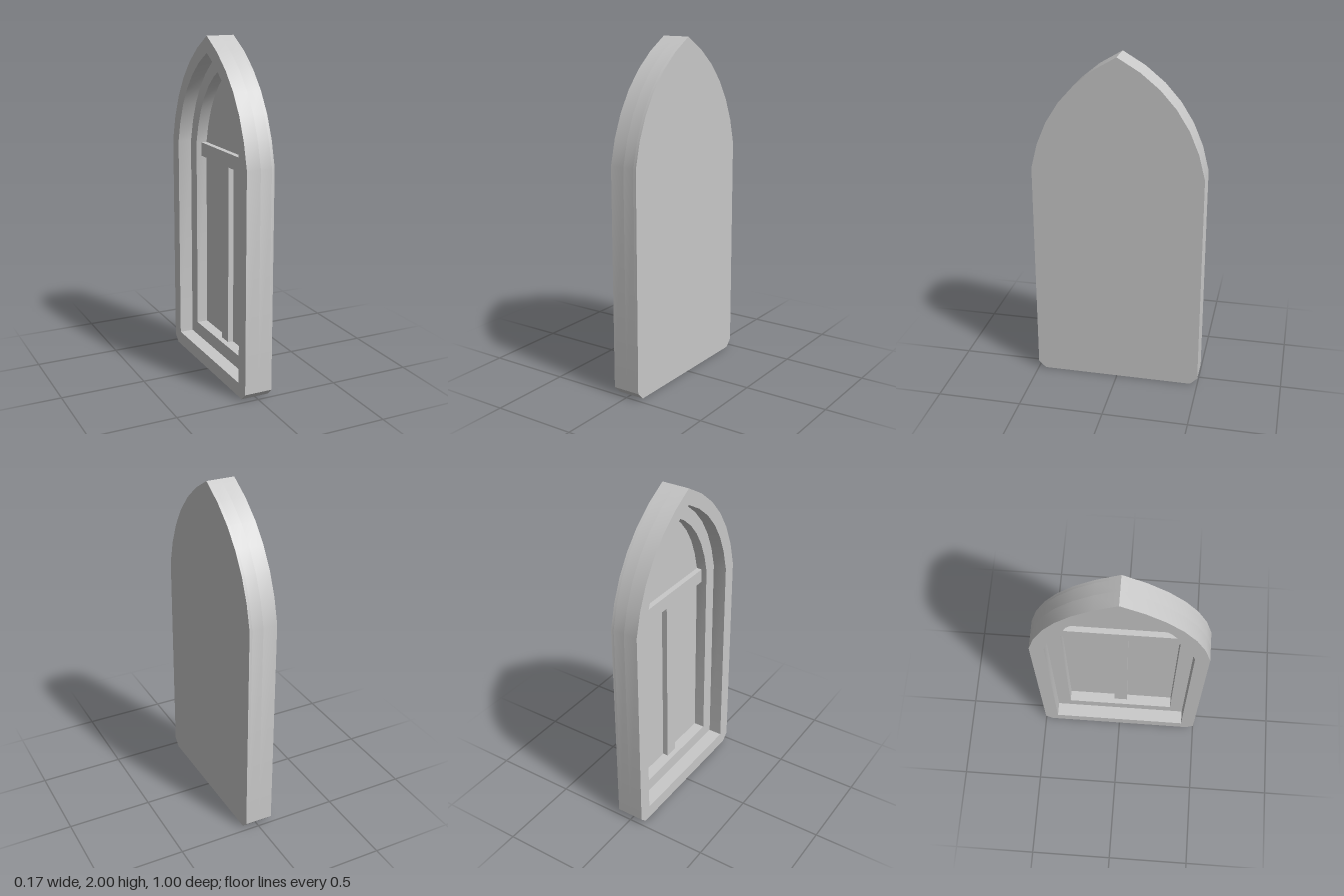
import * as THREE from 'three';
import { toCreasedNormals } from 'three/addons/utils/BufferGeometryUtils.js';

const HALF = 0.5, SPRING = 1.333, BORDER = 0.0833;
const BACK = 0.0833, FACE = -0.0833, PANE = 0.0667, BAR = 0.0333;

// Pointed-arch outline, inset by d, with optional bottom chamfer c
function archOutline(d, c = 0, Type = THREE.Shape) {
  const w = HALF - d, apex = 2 - 1.13 * d;
  const cu = 0.4167 - 0.89 * d, cv = 1.79 - 0.67 * d;
  const s = new Type();
  s.moveTo(-w + c, d);
  s.lineTo(w - c, d);
  if (c) s.lineTo(w, d + c);
  s.lineTo(w, SPRING);
  s.quadraticCurveTo(cu, cv, 0, apex);
  s.quadraticCurveTo(-cu, cv, -w, SPRING);
  if (c) s.lineTo(-w, d + c);
  s.closePath();
  return s;
}

export function createModel() {
  const group = new THREE.Group();
  group.name = 'archedWindow';
  const stone = new THREE.MeshStandardMaterial({ color: 0xc8c8c8 });
  stone.name = 'pale grey';

  function add(name, geometry) {
    const mesh = new THREE.Mesh(geometry, stone);
    mesh.name = name;
    group.add(mesh);
  }

  // One slab of the window between two x positions, with an inset opening
  function layer(name, x0, x1, inset) {
    const shape = archOutline(0, 0.043);
    if (inset) shape.holes.push(archOutline(inset, 0, THREE.Path));
    const geo = new THREE.ExtrudeGeometry(shape, { depth: x1 - x0, bevelEnabled: false, curveSegments: 6 });
    geo.rotateY(Math.PI / 2).translate(x0, 0, 0);
    add(name, toCreasedNormals(geo, Math.PI / 6));
  }
  layer('outerFrame', FACE, 0, BORDER);
  layer('innerFrame', 0, PANE, 2 * BORDER);
  layer('backPanel', PANE, BACK, 0);

  // Glazing bars in front of the panel
  function bar(name, y0, y1, width) {
    const geo = new THREE.BoxGeometry(PANE - BAR, y1 - y0, width);
    add(name, geo.translate((PANE + BAR) / 2, (y0 + y1) / 2, 0));
  }
  bar('crossbar', SPRING - BORDER, SPRING, 2 * (HALF - 2 * BORDER));
  bar('mullion', 2 * BORDER, SPRING - BORDER, BORDER);

  return group;
}
